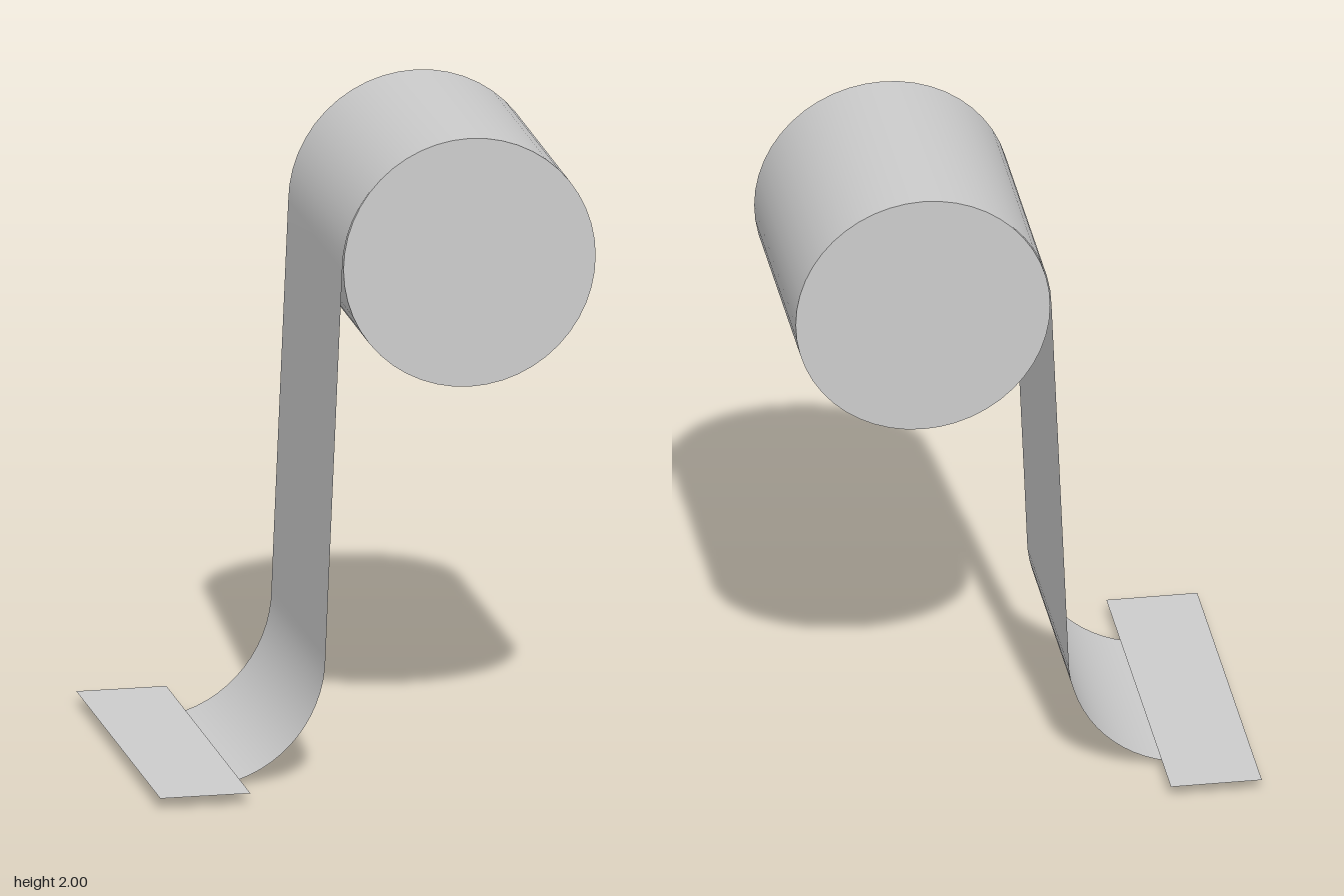
import * as THREE from 'three';

const HALF_WIDTH = 0.392;
const ROLL = { x: 0.308, y: 1.608, r: 0.392 };

// Open sheet swept along z from a side profile of [x, y] points
function sheetGeometry(profile) {
  const g = new THREE.PlaneGeometry(1, 1, profile.length - 1, 1);
  const pos = g.attributes.position;
  for (let row = 0; row < 2; row++) {
    profile.forEach(([x, y], i) => {
      pos.setXYZ(row * profile.length + i, x, y, row ? HALF_WIDTH : -HALF_WIDTH);
    });
  }
  g.computeVertexNormals();
  return g;
}

export function createModel() {
  const group = new THREE.Group();
  const grey = new THREE.MeshStandardMaterial({ color: 0xcccccc, side: THREE.DoubleSide });
  grey.name = 'light grey';

  const add = (name, geometry) => {
    const mesh = new THREE.Mesh(geometry, grey);
    mesh.name = name;
    group.add(mesh);
    return mesh;
  };

  // Solid roll lying along z
  const roll = add('roll', new THREE.CylinderGeometry(ROLL.r, ROLL.r, HALF_WIDTH * 2, 48));
  roll.rotation.x = Math.PI / 2;
  roll.position.set(ROLL.x, ROLL.y, 0);

  // Sheet: peels off the roll, hangs almost straight, then curls outward
  const profile = [];
  for (let i = 0; i <= 12; i++) {
    const a = Math.PI / 2 * (1 + i / 12);
    const r = ROLL.r + 0.004 * i / 12;
    profile.push([ROLL.x + r * Math.cos(a), ROLL.y + r * Math.sin(a)]);
  }
  for (let i = 1; i < 6; i++) {
    const t = i / 6;
    profile.push([-0.088 - 0.052 * t, ROLL.y + (0.4 - ROLL.y) * t]);
  }
  for (let i = 0; i <= 16; i++) {
    const a = Math.PI / 2 * i / 16;
    profile.push([-0.52 + 0.38 * Math.cos(a), 0.39 - 0.39 * Math.sin(a)]);
  }
  add('hangingSheet', sheetGeometry(profile));

  // Flat strip above the end of the sheet
  const strip = add('endStrip', new THREE.PlaneGeometry(0.28, 1.22));
  strip.rotation.x = -Math.PI / 2;
  strip.position.set(-0.56, 0.035, 0);

  return group;
}
